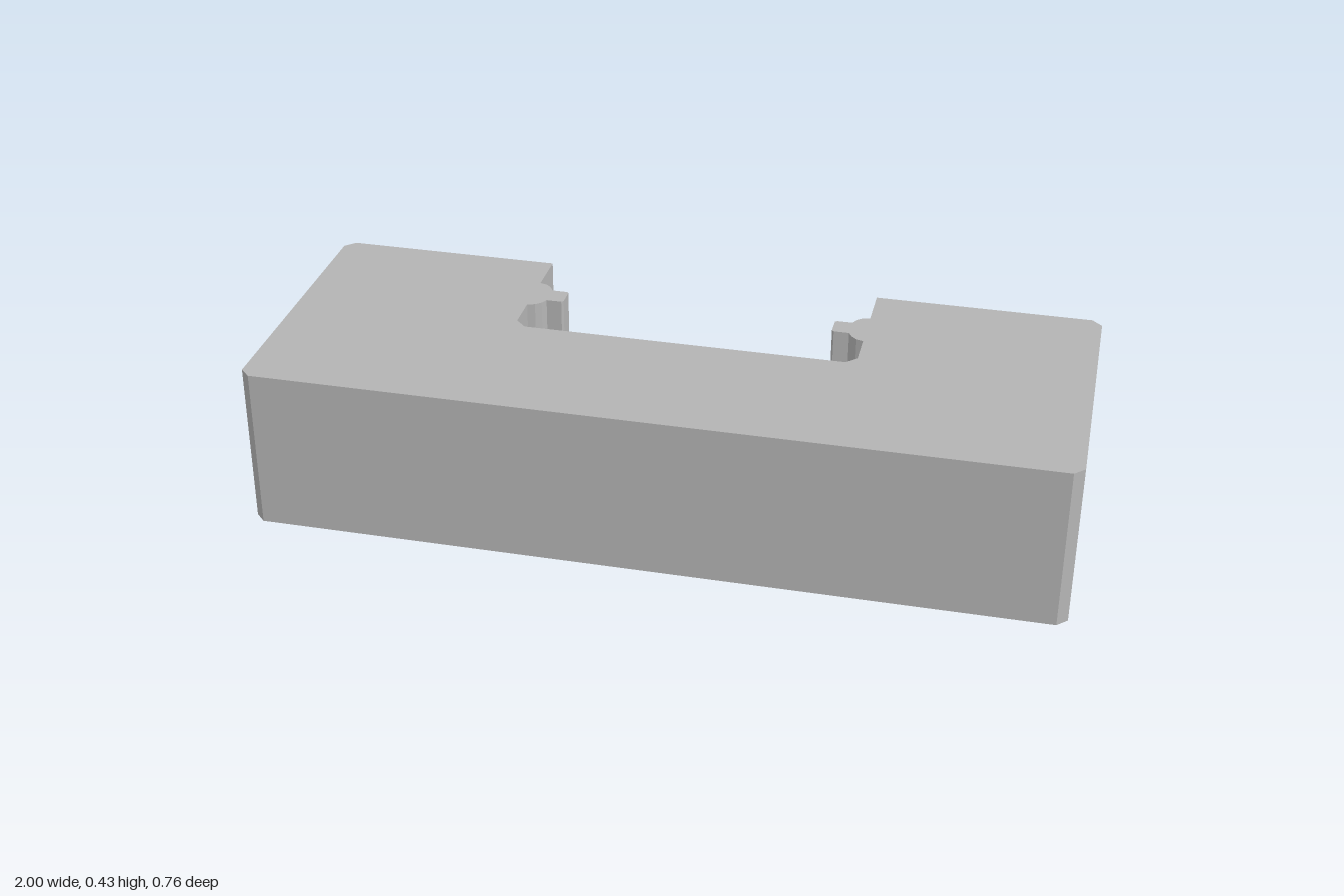
import * as THREE from 'three';

export function createModel() {
  const group = new THREE.Group();
  group.name = 'notchedBlock';
  const grey = new THREE.MeshStandardMaterial({ color: 0xb4b4b4 });
  grey.name = 'grey';

  const height = 0.412, halfDepth = 0.3755, chamfer = 0.025, tilt = 0.03;

  // Half of the plan outline as [x, z], from the front edge round to the slot floor
  const half = [
    [1 - chamfer, halfDepth], [1, halfDepth - chamfer],
    [1, -halfDepth + chamfer], [1 - chamfer, -halfDepth],
    [0.43, -halfDepth],
  ];
  // Rounded bump on the slot wall with a small tab at its middle
  const bumpZ = -0.196, radius = 0.062;
  const arc = [90, 66, 45, 27].map(a => a * Math.PI / 180);
  const bump = arc.map(a => [0.43 - radius * Math.cos(a) * 0.75, radius * Math.sin(a)]);
  const tab = [[0.35, 0.028], [0.345, 0.023]];
  const upper = [...bump, ...tab];
  upper.forEach(([x, d]) => half.push([x, bumpZ - d]));
  [...upper].reverse().forEach(([x, d]) => half.push([x, bumpZ + d]));
  // Chamfered inner corner of the slot
  half.push([0.43, -0.044], [0.403, -0.017]);

  // Mirror the outline and extrude it upward
  const outline = [...half, ...[...half].reverse().map(([x, z]) => [-x, z])];
  const shape = new THREE.Shape(outline.map(([x, z]) => new THREE.Vector2(x, -z)));
  const geometry = new THREE.ExtrudeGeometry(shape, { depth: height, bevelEnabled: false });
  geometry.translate(0, 0, -height / 2);
  geometry.rotateX(-Math.PI / 2);

  // The whole block leans slightly backward
  const block = new THREE.Mesh(geometry, grey);
  block.name = 'block';
  block.rotation.x = -tilt;
  block.position.y = height / 2 * Math.cos(tilt) + halfDepth * Math.sin(tilt);
  group.add(block);
  return group;
}
